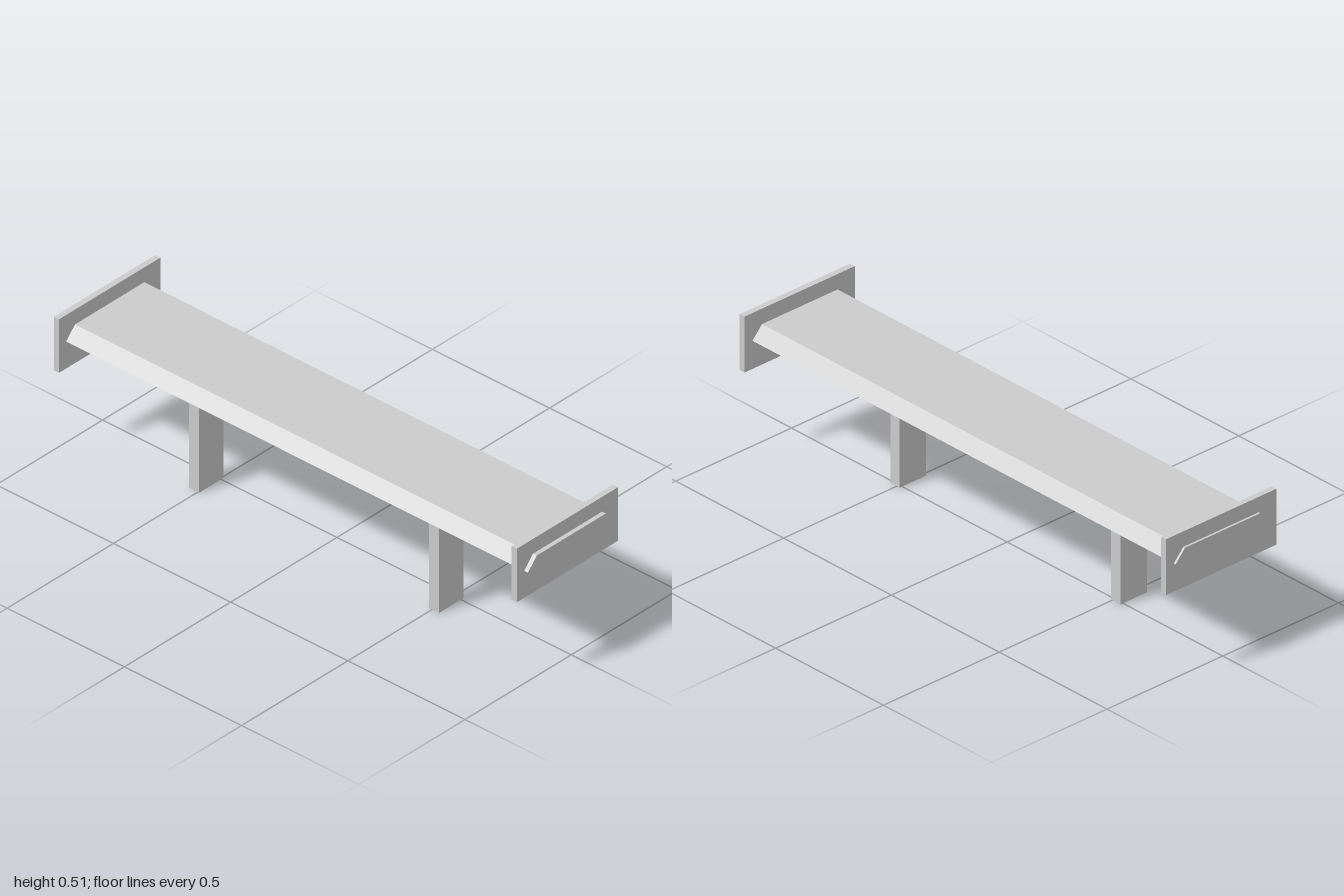
import * as THREE from 'three';

export function createModel() {
  const model = new THREE.Group();
  const material = new THREE.MeshStandardMaterial({ color: 0xcccccc, flatShading: true });

  const add = (name, geometry, x = 0, y = 0, z = 0) => {
    const mesh = new THREE.Mesh(geometry, material);
    mesh.name = name;
    mesh.position.set(x, y, z);
    model.add(mesh);
  };

  // Long plank with bevelled front and back edges, extruded along x
  const section = new THREE.Shape([
    new THREE.Vector2(-0.204, 0.411),
    new THREE.Vector2(0.204, 0.411),
    new THREE.Vector2(0.163, 0.456),
    new THREE.Vector2(-0.163, 0.456),
  ]);
  const plank = new THREE.ExtrudeGeometry(section, { depth: 2, bevelEnabled: false });
  plank.translate(0, 0, -1).rotateY(Math.PI / 2);
  add('plank', plank);

  // End plates and support posts, set slightly off centre along the plank
  const shift = -0.004;
  for (const [side, s] of [['left', 1], ['right', -1]]) {
    add(side + 'EndPlate', new THREE.BoxGeometry(0.022, 0.203, 0.477), s * 0.977 + shift, 0.4105, 0);
    add(side + 'Post', new THREE.BoxGeometry(0.043, 0.411, 0.114), s * 0.512 + shift, 0.2055, 0.046);
  }

  return model;
}
